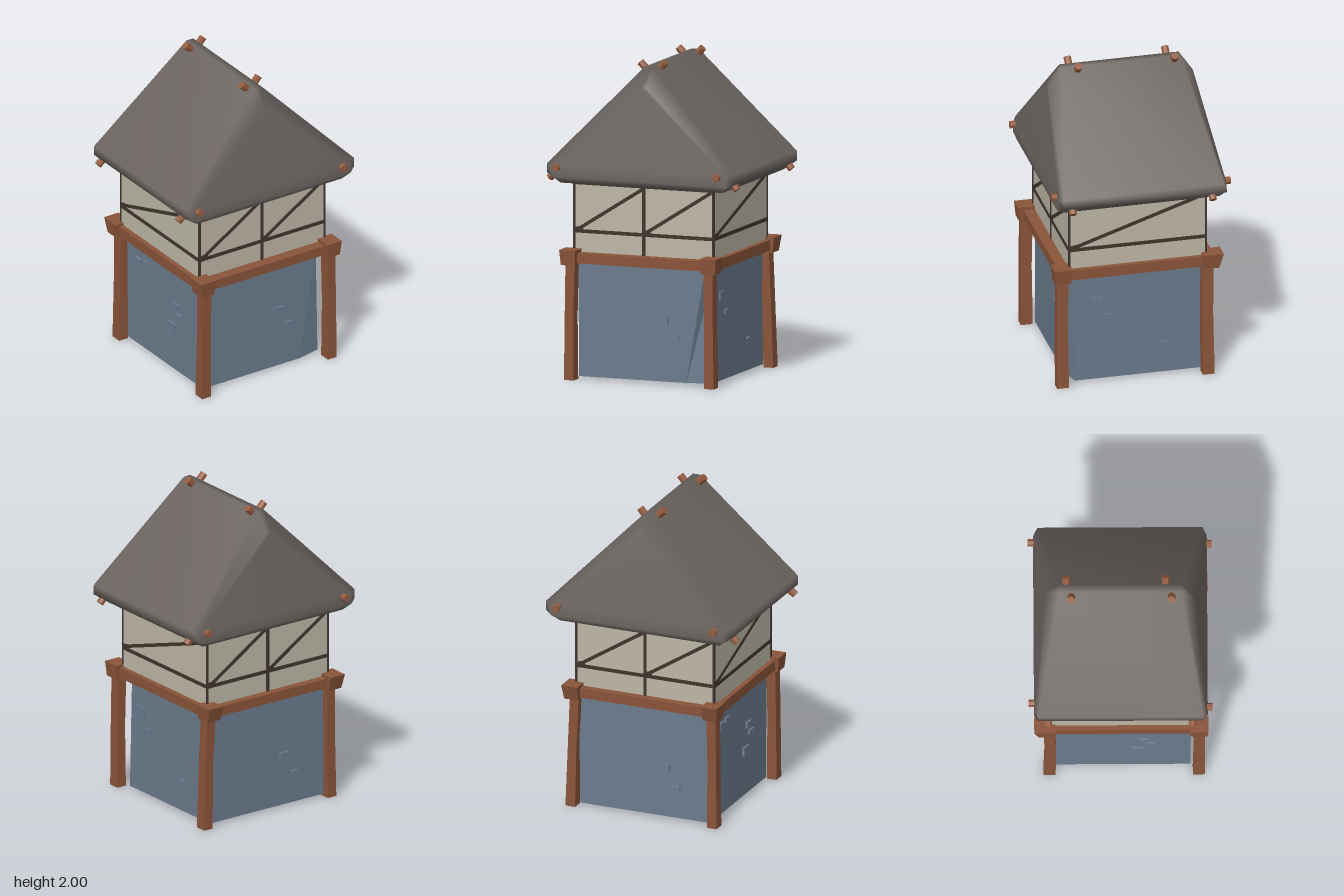
import * as THREE from 'three';
import { toCreasedNormals } from 'three/addons/utils/BufferGeometryUtils.js';

const mat = (name, color) => {
  const m = new THREE.MeshStandardMaterial({ color });
  m.name = name;
  return m;
};

// Closed solid through loops of equal length; each loop is counter-clockwise seen from its +axis end
function loftLoops(loops, cap) {
  const n = loops[0].length;
  const idx = [];
  for (let k = 0; k < loops.length - 1; k++) {
    for (let i = 0; i < n; i++) {
      const j = (i + 1) % n;
      const a = k * n + i, b = k * n + j, c = a + n, d = b + n;
      idx.push(a, b, d, a, d, c);
    }
  }
  const top = (loops.length - 1) * n;
  for (const [a, b, c] of cap) {
    idx.push(top + a, top + b, top + c, a, c, b);
  }
  const g = new THREE.BufferGeometry();
  g.setAttribute('position', new THREE.Float32BufferAttribute(loops.flat(2), 3));
  g.setIndex(idx);
  g.computeVertexNormals();
  return g;
}

const fan = (n) => Array.from({ length: n - 2 }, (_, i) => [0, i + 1, i + 2]);

// Four-sided pillar through sections [x, y, z, width, depth]
function pillar(sections) {
  const loops = sections.map(([x, y, z, w, d]) =>
    [[-1, 1], [1, 1], [1, -1], [-1, -1]].map(([sx, sz]) => [x + sx * w / 2, y, z + sz * d / 2]));
  return toCreasedNormals(loftLoops(loops, fan(4)), 0.5);
}

export function createModel() {
  const model = new THREE.Group();
  model.name = 'hut';
  const wood = mat('brown wood', 0x8a5439);
  const pegWood = mat('peg wood', 0x965c3e);
  const stone = mat('blue stone', 0x6b7b8d);
  const plaster = mat('cream plaster', 0xbdb7a6);
  const timber = mat('dark timber', 0x40352d);
  const roofMat = mat('roof grey', 0x6c6561);

  const add = (name, geo, material, parent = model) => {
    const m = new THREE.Mesh(geo, material);
    m.name = name;
    parent.add(m);
    return m;
  };
  const box = (name, w, h, d, x, y, z, material, parent) => {
    const m = add(name, new THREE.BoxGeometry(w, h, d), material, parent);
    m.position.set(x, y, z);
    return m;
  };

  // Stone base with one cut corner
  const base = [
    [[-0.435, 0.43], [0.28, 0.43], [0.44, 0.395], [0.44, -0.43], [-0.435, -0.43]],
    [[-0.44, 0.43], [0.41, 0.43], [0.45, 0.36], [0.45, -0.43], [-0.44, -0.43]],
  ].map((loop, k) => loop.map(([x, z]) => [x, k ? 0.76 : 0.015, z]));
  add('stoneBase', toCreasedNormals(loftLoops(base, fan(5)), 0.15), stone);

  // Raised bricks: per wall [turn, distance, list of [u, y, w, h]]
  const brickWalls = [
    [0, 0.43, [[0.125, 0.4, 0.075, 0.05], [0.2, 0.29, 0.06, 0.03]]],
    [1, 0.443, [[-0.265, 0.55, 0.08, 0.055], [-0.19, 0.44, 0.06, 0.03], [0.17, 0.22, 0.04, 0.012]]],
    [2, 0.43, [[0.13, 0.34, 0.07, 0.045], [0.21, 0.21, 0.05, 0.03]]],
    [3, 0.437, [[-0.27, 0.6, 0.07, 0.05], [-0.19, 0.62, 0.05, 0.03], [0.14, 0.47, 0.06, 0.04],
      [0.18, 0.41, 0.06, 0.03], [0.1, 0.31, 0.08, 0.055]]],
  ];
  for (const [turn, dist, list] of brickWalls) {
    const wall = new THREE.Group();
    wall.name = 'wallBricks';
    wall.rotation.y = turn * Math.PI / 2;
    for (const [u, y, w, h] of list) {
      box('brick', w, h, 0.03, u, y, dist, stone, wall).rotation.z = -0.03;
    }
    model.add(wall);
  }

  // Corner posts, slightly bent, with flared caps
  for (const sx of [-1, 1]) {
    for (const sz of [-1, 1]) {
      const z = sz > 0 ? 0.482 : -0.44;
      const lean = sx > 0 && sz < 0 ? 0.02 : 0;
      add('cornerPost', pillar([
        [sx * 0.467 + lean, 0, z, 0.065, 0.075],
        [sx * 0.465 + lean * 0.6, 0.4, z + 0.004, 0.058, 0.07],
        [sx * 0.46, 0.74, z, 0.06, 0.072],
      ]), wood);
      const cz = sz > 0 ? 0.484 : -0.458;
      add('postCap', pillar([
        [sx * 0.467, 0.72, cz, 0.095, 0.1],
        [sx * 0.469, 0.815, cz + (sz > 0 ? 0 : -0.012), 0.108, sz > 0 ? 0.116 : 0.13],
      ]), wood);
    }
  }

  // Rails between the caps
  for (const s of [-1, 1]) {
    box('crossRail', 0.86, 0.062, 0.07, 0, 0.763, s > 0 ? 0.47 : -0.45, wood);
    box('sideRail', 0.06, 0.066, 0.88, s * 0.467, 0.765, 0.01, wood);
  }

  // Plastered upper room
  box('upperWalls', 0.93, 0.55, 0.87, 0, 1.01, 0, plaster);

  // Timber framing, the same on opposite walls
  for (let turn = 0; turn < 4; turn++) {
    const wide = turn % 2 === 0;
    const half = wide ? 0.465 : 0.435;
    const dist = wide ? 0.435 : 0.465;
    const frame = new THREE.Group();
    frame.name = 'timberFrame';
    frame.rotation.y = turn * Math.PI / 2;
    model.add(frame);
    const bar = (name, x0, y0, x1, y1, t) => {
      const b = box(name, Math.hypot(x1 - x0, y1 - y0), t, 0.008,
        (x0 + x1) / 2, (y0 + y1) / 2, dist + 0.002, timber, frame);
      b.rotation.z = Math.atan2(y1 - y0, x1 - x0);
    };
    bar('lowRail', -half, 0.925, half, 0.925, 0.022);
    bar('topRail', -half, 1.225, half, 1.225, 0.018);
    for (const s of [-1, 1]) bar('cornerStrip', s * (half - 0.002), 0.79, s * (half - 0.002), 1.23, 0.01);
    if (wide) bar('middleStud', 0, 0.78, 0, 1.23, 0.02);
    const braces = wide ? [[-0.44, 0], [0.01, 0.45]] : [[-0.42, 0.43]];
    for (const [a, b] of braces) {
      bar('brace', a, 0.935, b, 1.215, 0.021);
      bar('braceFoot', a - 0.015, 0.93, a + 0.035, 0.94, 0.038);
    }
  }

  // Soft roof: end loop, body loop, body loop, end loop
  const half = {
    body: [[0.54, 1.23, 0.5], [0.625, 1.29, 0.51], [0.625, 1.35, 0.51], [0.025, 1.97, 0.38]],
    end: [[0.52, 1.245, 0.53], [0.58, 1.27, 0.537], [0.58, 1.335, 0.535], [0.015, 1.85, 0.462]],
  };
  const roofLoop = (pts, s) => [
    ...pts.map(([x, y, z]) => [x + 0.01, y, s * z]),
    ...[...pts].reverse().map(([x, y, z]) => [0.01 - x, y, s * z]),
  ];
  const roofCap = [];
  for (let i = 0; i < 3; i++) roofCap.push([i, i + 1, 6 - i], [i, 6 - i, 7 - i]);
  add('roof', loftLoops([
    roofLoop(half.end, -1), roofLoop(half.body, -1), roofLoop(half.body, 1), roofLoop(half.end, 1),
  ], roofCap), roofMat);

  // Pegs poking out of the roof: position, direction
  const up = new THREE.Vector3(0, 1, 0);
  const pegs = [
    [-0.047, 1.962, -0.305, -0.75, 0.7, 0], [0.055, 1.962, -0.335, 0.65, 0.75, 0],
    [-0.047, 1.962, 0.315, -0.75, 0.7, 0], [0.055, 1.962, 0.28, 0.65, 0.75, 0],
    [-0.54, 1.33, 0.53, 0, 0, 1], [0.53, 1.33, 0.53, 0, 0, 1],
    [-0.51, 1.33, -0.535, 0, 0, -1], [0.545, 1.33, -0.535, 0, 0, -1],
    [-0.6, 1.27, -0.45, -0.75, -0.6, 0], [-0.6, 1.27, 0.44, -0.75, -0.6, 0],
    [0.605, 1.272, -0.44, 0.65, -0.7, 0], [0.605, 1.272, 0.45, 0.65, -0.7, 0],
  ];
  const pegGeo = toCreasedNormals(new THREE.CylinderGeometry(0.024, 0.024, 0.07, 7), 0.4);
  for (const [x, y, z, dx, dy, dz] of pegs) {
    const p = add('roofPeg', pegGeo, pegWood);
    p.position.set(x, y, z);
    p.quaternion.setFromUnitVectors(up, new THREE.Vector3(dx, dy, dz).normalize());
  }
  return model;
}
